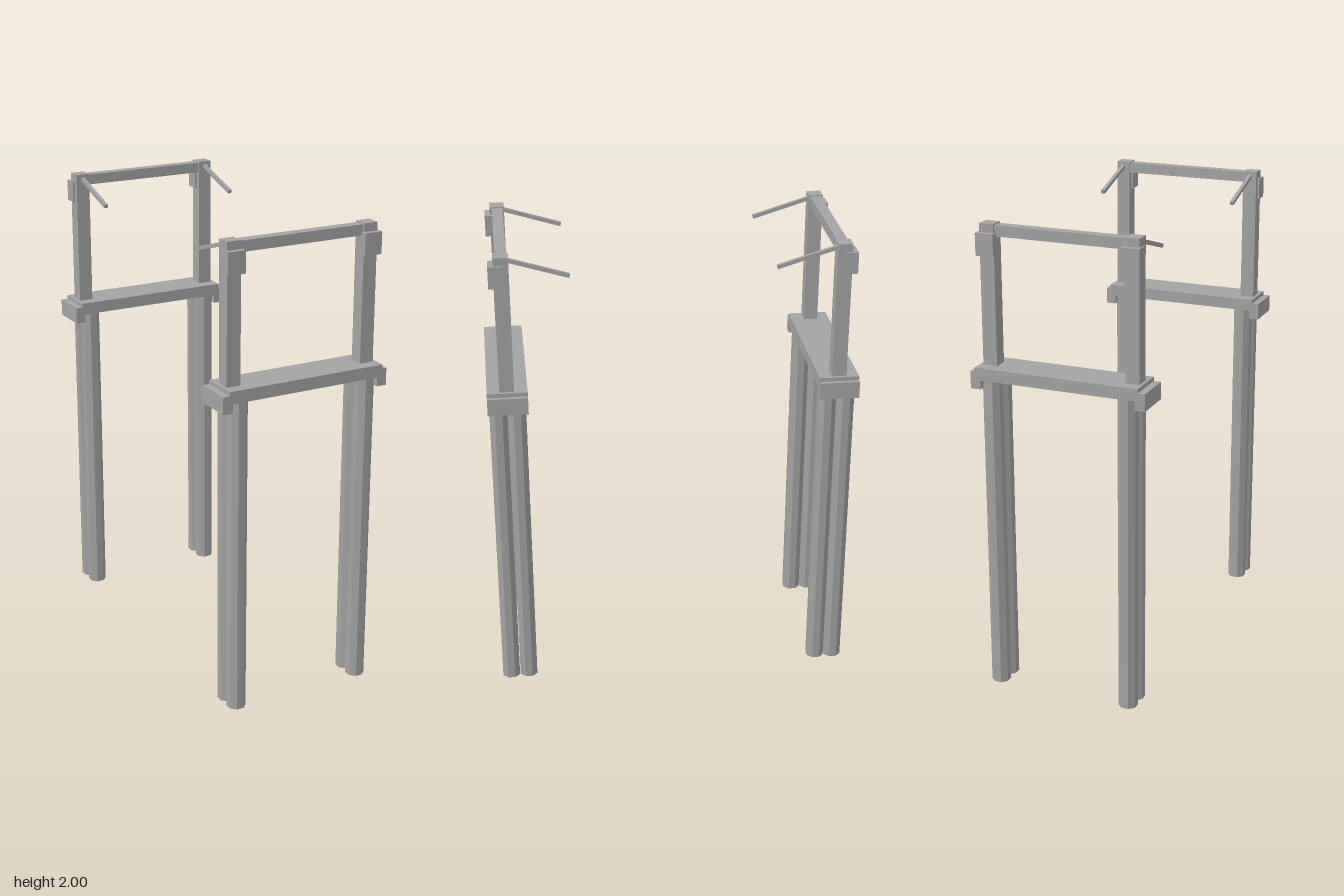
import * as THREE from 'three';

const grey = new THREE.MeshStandardMaterial({ color: 0xa3a3a3 });
grey.name = 'concreteGrey';

function add(parent, name, geometry, x, y, z) {
  const mesh = new THREE.Mesh(geometry, grey);
  mesh.name = name;
  mesh.position.set(x, y, z);
  parent.add(mesh);
  return mesh;
}

// Box given by its limits on each axis
function box(parent, name, [x0, x1], [y0, y1], [z0, z1]) {
  return add(parent, name, new THREE.BoxGeometry(x1 - x0, y1 - y0, z1 - z0),
    (x0 + x1) / 2, (y0 + y1) / 2, (z0 + z1) / 2);
}

// One portal frame; s = 1 is the front frame, s = -1 its mirror at the back
function createFrame(s) {
  const frame = new THREE.Group();
  frame.name = s > 0 ? 'frontFrame' : 'backFrame';
  const zr = (a, b) => (s > 0 ? [a, b] : [-b, -a]);
  const depth = zr(0.608, 0.776);

  // Cap beam with drop ends and a thin bearing plate
  box(frame, 'capBeam', [-0.38, 0.38], [1.365, 1.4], depth);
  box(frame, 'capEndRight', [-0.38, -0.336], [1.327, 1.365], depth);
  box(frame, 'capEndLeft', [0.336, 0.38], [1.327, 1.365], depth);
  box(frame, 'bearingPlate', [-0.35, 0.361], [1.4, 1.417], depth);

  // Pairs of octagonal piers, flat side to the front
  const pier = new THREE.CylinderGeometry(0.0406, 0.0406, 1.366, 8).rotateY(Math.PI / 8).toNonIndexed();
  pier.computeVertexNormals();
  for (const x of [-0.291, 0.302])
    for (const dz of [-0.039, 0.039]) add(frame, 'pier', pier, x, 0.683, s * (0.693 + dz));

  // Upper posts with outer clamps and inward sloping arms
  for (const x of [-0.305, 0.316]) {
    box(frame, 'post', [x - 0.031, x + 0.031], [1.417, 2], zr(0.663, 0.724));
    box(frame, 'clamp', [x - 0.039, x + 0.039], [1.873, 1.965], zr(0.685, 0.747));
    const dy = 0.08, dz = 0.26;
    const arm = add(frame, 'arm', new THREE.BoxGeometry(0.016, 0.016, Math.hypot(dy, dz)),
      x, 1.903 + dy / 2, s * (0.421 + dz / 2));
    arm.rotation.x = -s * Math.atan2(dy, dz);
  }

  // Top rail between the posts
  box(frame, 'topRail', [-0.28, 0.29], [1.95, 1.995], zr(0.67, 0.715));
  return frame;
}

export function createModel() {
  const model = new THREE.Group();
  model.name = 'twinPortalFrames';
  model.add(createFrame(1), createFrame(-1));
  return model;
}
